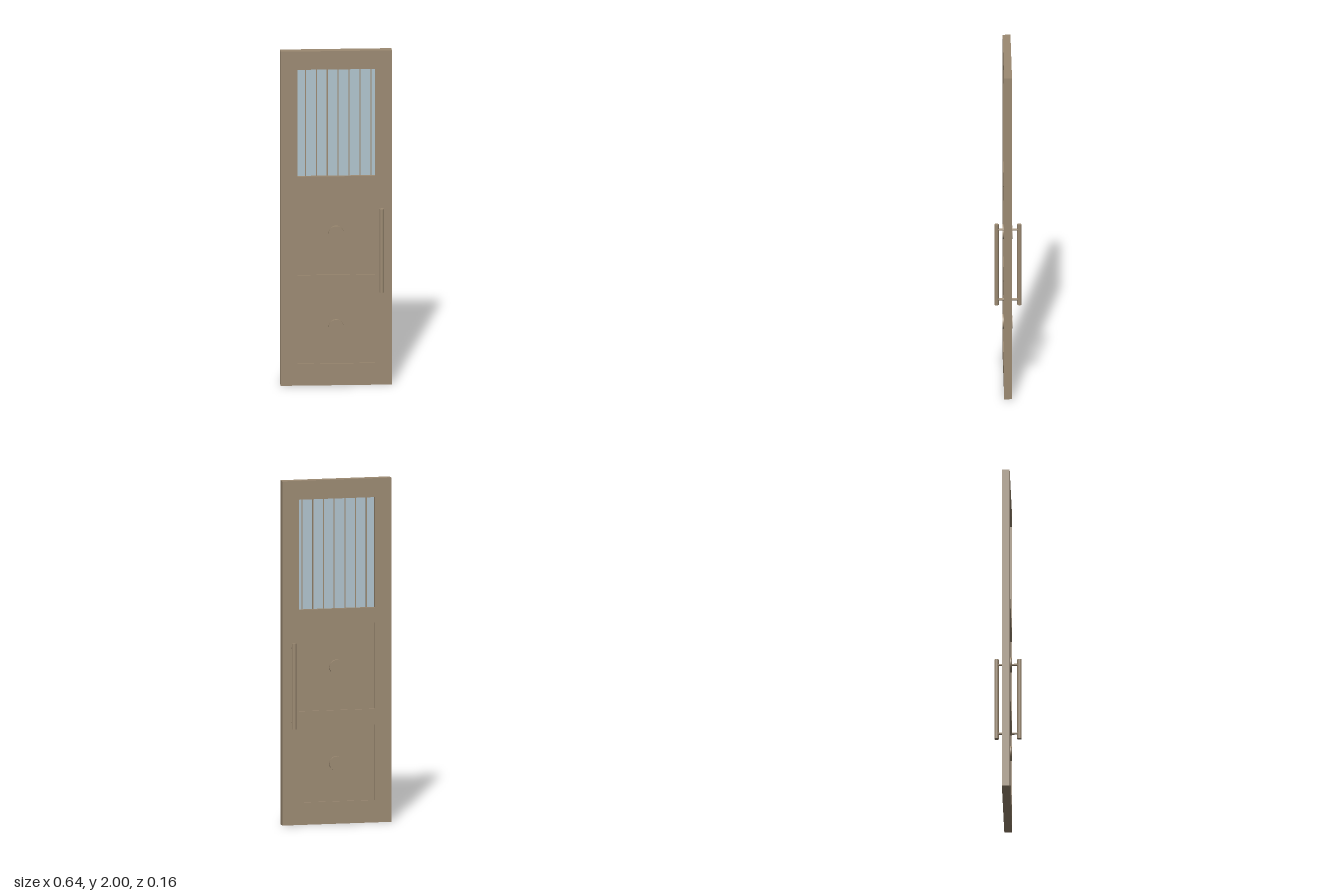
import * as THREE from 'three';

const WIDTH = 0.64, HEIGHT = 2, DEPTH = 0.045;
const OPEN_X = 0.223; // half width of the window and panel openings
const WINDOW = [1.25, 1.89];
const PANELS = [[0.13, 0.57], [0.66, 1.16]];

function rectangle(PathClass, x0, y0, x1, y1) {
  const p = new PathClass();
  p.moveTo(x0, y0);
  p.lineTo(x1, y0);
  p.lineTo(x1, y1);
  p.lineTo(x0, y1);
  p.closePath();
  return p;
}

export function createModel() {
  const door = new THREE.Group();
  door.name = 'door';
  const wood = new THREE.MeshStandardMaterial({ color: 0x9c8a72 });
  wood.name = 'brown wood';
  const glass = new THREE.MeshStandardMaterial({ color: 0xb0c4ce });
  glass.name = 'pale blue glass';

  function add(name, geometry, material, x = 0, y = 0, z = 0) {
    const mesh = new THREE.Mesh(geometry, material);
    mesh.name = name;
    mesh.position.set(x, y, z);
    door.add(mesh);
    return mesh;
  }

  // Frame: one slab with openings for the window and both panels
  const outline = rectangle(THREE.Shape, -WIDTH / 2, 0, WIDTH / 2, HEIGHT);
  for (const [y0, y1] of [WINDOW, ...PANELS]) {
    outline.holes.push(rectangle(THREE.Path, -OPEN_X, y0, OPEN_X, y1));
  }
  const slab = new THREE.ExtrudeGeometry(outline, { depth: DEPTH, bevelEnabled: false });
  add('frame', slab, wood, 0, 0, -DEPTH / 2);

  // Recessed panels, each with a round boss standing out on both sides
  for (const [y0, y1] of PANELS) {
    const y = (y0 + y1) / 2;
    add('panel', new THREE.BoxGeometry(OPEN_X * 2, y1 - y0, 0.028), wood, 0, y);
    const boss = new THREE.CylinderGeometry(0.043, 0.043, 0.056, 32);
    add('boss', boss, wood, 0, y).rotation.x = Math.PI / 2;
  }

  // Window pane with slim upright bars
  const paneHeight = WINDOW[1] - WINDOW[0];
  const paneY = (WINDOW[0] + WINDOW[1]) / 2;
  add('windowPane', new THREE.BoxGeometry(OPEN_X * 2, paneHeight, 0.008), glass, 0, paneY);
  for (let i = 0; i < 7; i++) {
    const bar = new THREE.BoxGeometry(0.006, paneHeight, 0.016);
    add('windowBar', bar, wood, -0.176 + i * 0.0627, paneY);
  }

  // Pull handles on both faces, each on two standoffs
  for (const side of [1, -1]) {
    add('handleBar', new THREE.CylinderGeometry(0.013, 0.013, 0.5, 24), wood, 0.26, 0.815, side * 0.0655);
    for (const y of [0.598, 1.033]) {
      const post = new THREE.CylinderGeometry(0.0065, 0.0065, 0.046, 16);
      add('handlePost', post, wood, 0.26, y, side * 0.043).rotation.x = Math.PI / 2;
    }
  }
  return door;
}
